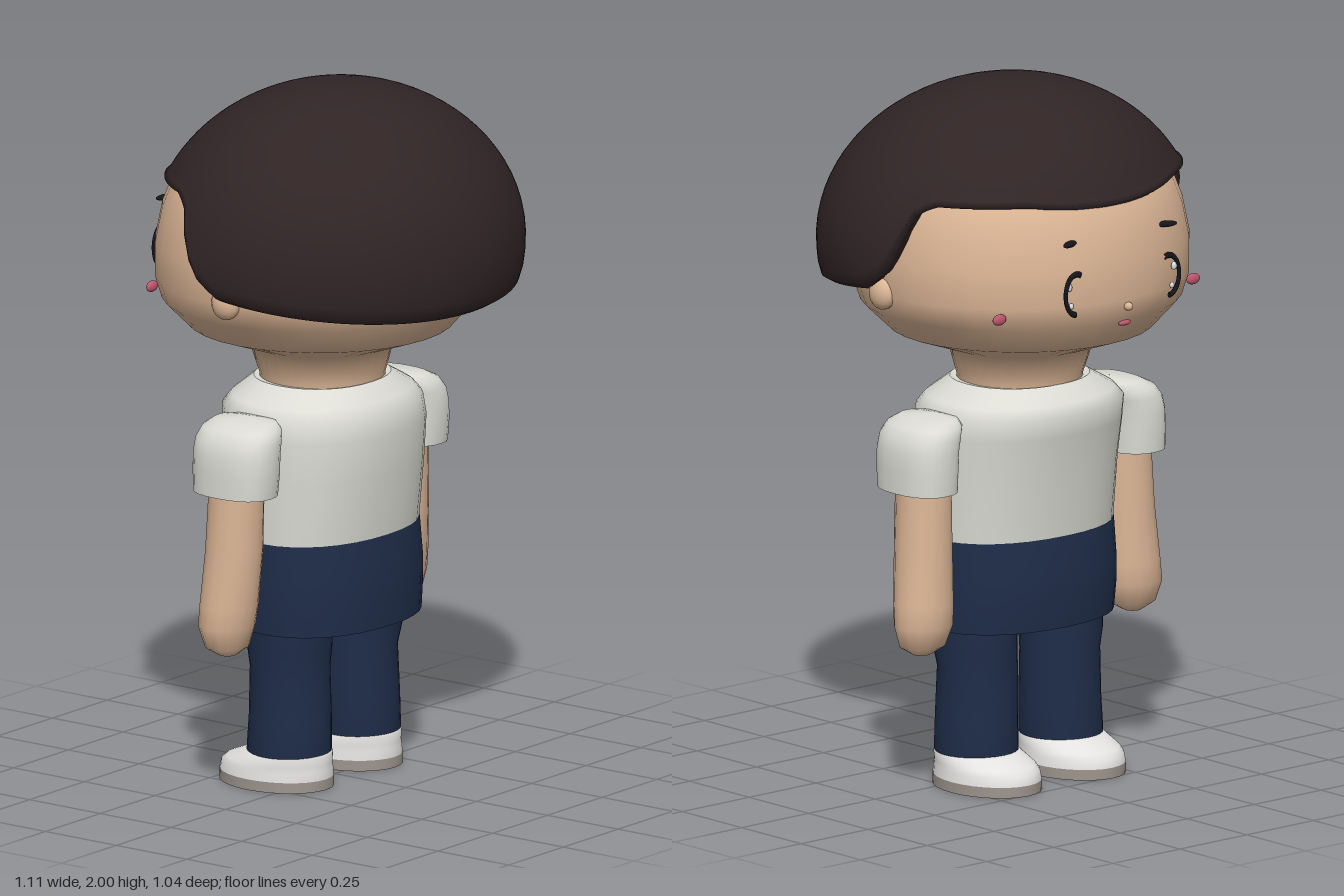
import * as THREE from 'three';

const mat = (name, color) => Object.assign(new THREE.MeshStandardMaterial({ color, side: THREE.DoubleSide }), { name });

// Rings of points (bottom to top) joined into a skin; repeating a ring makes a hard edge.
function skin(rings) {
  const n = rings[0].length, index = [];
  for (let i = 0; i < rings.length - 1; i++) {
    for (let j = 0; j < n; j++) {
      const a = i * n + j, b = i * n + (j + 1) % n;
      index.push(a, b, b + n, a, b + n, a + n);
    }
  }
  const g = new THREE.BufferGeometry();
  g.setAttribute('position', new THREE.Float32BufferAttribute(rings.flat(2), 3));
  g.setIndex(index);
  g.computeVertexNormals();
  return g;
}

// Elliptical cross-sections: [y, centreX, centreZ, radiusX, radiusZ]
function loft(rows, side = 1, sides = 28, power = 2) {
  const bend = v => Math.sign(v) * Math.abs(v) ** (2 / power);
  return skin(rows.map(([y, cx, cz, rx, rz]) => Array.from({ length: sides }, (_, j) => {
    const a = j / sides * Math.PI * 2;
    return [cx * side + rx * bend(Math.sin(a)), y, cz + rz * bend(Math.cos(a))];
  })));
}

// Lower hairline height against direction (1 = back, -1 = face)
const HAIRLINE = [[-1, 1.71], [-0.85, 1.73], [-0.42, 1.73], [-0.32, 1.7], [-0.16, 1.53], [0, 1.475], [1, 1.41]];
function hairline(c) {
  for (let i = 1; i < HAIRLINE.length; i++) {
    const [c0, y0] = HAIRLINE[i - 1], [c1, y1] = HAIRLINE[i];
    if (c <= c1) return y0 + (y1 - y0) * (c - c0) / (c1 - c0);
  }
  return 1.41;
}

function hairGeometry() {
  const sides = 96, steps = 24, rings = [];
  const ring = (t, shrink, lift) => Array.from({ length: sides }, (_, j) => {
    const a = j / sides * Math.PI * 2, c = Math.cos(a);
    const y = 2 - (2 - hairline(c)) * t * t;
    const f = shrink * (y > 1.55 ? Math.sqrt(Math.max(0, 1 - ((y - 1.55) / 0.45) ** 2))
      : 1 - 0.04 * ((1.55 - y) / 0.14) ** 2);
    return [0.555 * f * Math.sin(a), y + lift, (c > 0 ? 0.52 : 0.5) * f * c];
  });
  rings.push(ring(1, 0.75, 0.04), ring(1, 0.96, 0), ring(1, 0.96, 0));
  for (let i = steps; i >= 0; i--) rings.push(ring(i / steps, 1, i === steps ? 0.012 : 0));
  return skin(rings);
}

export function createModel() {
  const model = new THREE.Group();
  const hair = mat('hair brown', 0x302425), skinTone = mat('skin', 0xdbb595), shirt = mat('shirt white', 0xdcdcd5);
  const navy = mat('trouser navy', 0x1f2d49), shoe = mat('shoe white', 0xe4e2e0), sole = mat('sole grey', 0x9c938c);
  const pink = mat('pink', 0xc0586e), dark = mat('eye black', 0x17151a), glint = mat('eye glint', 0xf2f4f8);
  const add = (name, geometry, material) => {
    const m = new THREE.Mesh(geometry, material);
    m.name = name;
    model.add(m);
    return m;
  };
  const blob = (name, material, p, r) => {
    const m = add(name, new THREE.SphereGeometry(1, 16, 12), material);
    m.position.set(...p);
    m.scale.set(...r);
    return m;
  };

  // Head and neck
  add('head', loft([
    [1.1, 0, -0.045, 0.18, 0.175], [1.16, 0, -0.045, 0.18, 0.175], [1.245, 0, -0.048, 0.205, 0.2],
    [1.305, 0, -0.05, 0.376, 0.37], [1.385, 0, -0.05, 0.462, 0.437], [1.45, 0, -0.05, 0.488, 0.452],
    [1.55, 0, -0.05, 0.49, 0.45], [1.65, 0, -0.05, 0.47, 0.43], [1.74, 0, -0.05, 0.435, 0.395],
    [1.83, 0, -0.05, 0.34, 0.31], [1.9, 0, -0.03, 0.18, 0.18], [1.92, 0, -0.02, 0.001, 0.001],
  ], 1, 32), skinTone);
  add('hair', hairGeometry(), hair);

  // Face
  blob('nose', skinTone, [0, 1.43, -0.503], [0.013, 0.012, 0.013]);
  blob('mouth', pink, [0, 1.38, -0.486], [0.022, 0.008, 0.008]);

  // Shirt and hips
  add('shirtBody', loft([
    [0.72, 0, -0.028, 0.3, 0.213], [0.9, 0, -0.028, 0.308, 0.232], [1.02, 0, -0.035, 0.311, 0.25],
    [1.08, 0, -0.045, 0.307, 0.25], [1.11, 0, -0.045, 0.28, 0.228], [1.155, 0, -0.045, 0.2, 0.178],
    [1.155, 0, -0.045, 0.2, 0.178], [1.15, 0, -0.045, 0.17, 0.16],
  ], 1, 32, 2.2), shirt);
  add('hips', loft([
    [0.48, 0, -0.028, 0.001, 0.001], [0.46, 0, -0.026, 0.3, 0.222], [0.46, 0, -0.026, 0.3, 0.222],
    [0.54, 0, -0.028, 0.306, 0.227], [0.62, 0, -0.028, 0.306, 0.226], [0.722, 0, -0.028, 0.302, 0.215],
  ], 1, 32, 2.2), navy);

  for (const s of [1, -1]) {
    const side = s > 0 ? 'left' : 'right';

    // Ear, cheek, brow and eye
    blob(side + 'Ear', skinTone, [s * 0.485, 1.455, -0.012], [0.03, 0.045, 0.045]);
    blob(side + 'Cheek', pink, [s * 0.362, 1.425, -0.367], [0.024, 0.016, 0.01]);
    blob(side + 'Brow', dark, [s * 0.18, 1.63, -0.459], [0.033, 0.009, 0.012]).rotation.y = s * 0.35;
    const rim = add(side + 'EyeRim', new THREE.TorusGeometry(0.04, 0.006, 8, 24, Math.PI * 1.1), dark);
    rim.geometry.rotateZ(s > 0 ? -Math.PI * 0.48 : Math.PI * 0.38);
    rim.scale.set(1, 1.45, 1);
    rim.position.set(s * 0.172, 1.487, -0.477);
    blob(side + 'UpperGlint', glint, [s * 0.196, 1.51, -0.474], [0.01, 0.012, 0.006]);
    blob(side + 'LowerGlint', glint, [s * 0.188, 1.455, -0.474], [0.007, 0.009, 0.006]);

    // Arm and sleeve
    add(side + 'Arm', loft([
      [0.41, 0.395, -0.075, 0.001, 0.001], [0.415, 0.395, -0.075, 0.025, 0.025],
      [0.44, 0.393, -0.077, 0.07, 0.058], [0.5, 0.391, -0.08, 0.089, 0.076],
      [0.56, 0.387, -0.075, 0.088, 0.08], [0.72, 0.378, -0.064, 0.083, 0.081],
      [0.95, 0.372, -0.058, 0.078, 0.078],
    ], s, 16), skinTone);
    add(side + 'Sleeve', loft([
      [0.93, 0.385, -0.05, 0.05, 0.08], [0.885, 0.388, -0.052, 0.088, 0.126], [0.885, 0.388, -0.052, 0.088, 0.126],
      [0.95, 0.387, -0.05, 0.09, 0.13], [1.0, 0.385, -0.05, 0.09, 0.13], [1.04, 0.376, -0.05, 0.09, 0.127],
      [1.07, 0.36, -0.05, 0.083, 0.118], [1.088, 0.345, -0.05, 0.06, 0.095], [1.095, 0.33, -0.05, 0.001, 0.001],
    ], s, 24, 2.4), shirt);

    // Trouser leg
    add(side + 'Leg', loft([
      [0.1, 0.158, -0.04, 0.001, 0.001], [0.09, 0.158, -0.04, 0.11, 0.112], [0.1, 0.158, -0.04, 0.118, 0.12],
      [0.2, 0.156, -0.038, 0.116, 0.116], [0.34, 0.154, -0.04, 0.114, 0.112], [0.4, 0.16, -0.037, 0.118, 0.12],
      [0.5, 0.16, -0.035, 0.12, 0.12],
    ], s), navy);

    // Shoe
    add(side + 'Sole', loft([
      [0, 0.157, -0.085, 0.001, 0.001], [0, 0.157, -0.085, 0.135, 0.175], [0, 0.157, -0.085, 0.135, 0.175],
      [0.03, 0.157, -0.085, 0.134, 0.174],
    ], s), sole);
    add(side + 'Shoe', loft([
      [0.03, 0.157, -0.085, 0.134, 0.174], [0.055, 0.157, -0.083, 0.13, 0.171], [0.07, 0.157, -0.075, 0.126, 0.16],
      [0.095, 0.157, -0.043, 0.119, 0.128], [0.1, 0.157, -0.04, 0.11, 0.118], [0.1, 0.157, -0.04, 0.001, 0.001],
    ], s), shoe);
  }
  return model;
}
